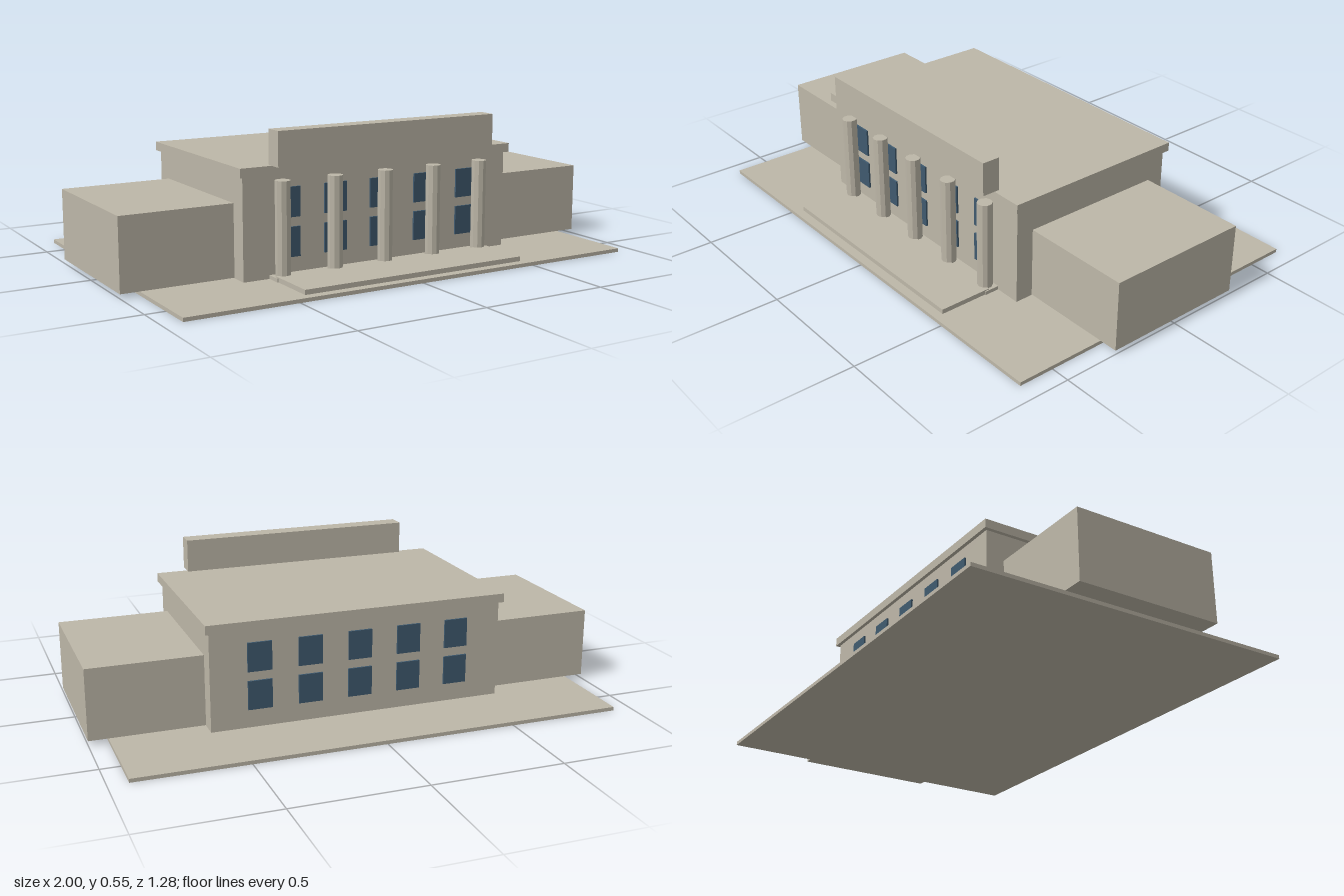
import * as THREE from 'three';

export function createModel() {
  const model = new THREE.Group();
  model.name = 'civicBuilding';
  const stone = new THREE.MeshStandardMaterial({ color: 0xbdb7a8 });
  stone.name = 'stone';
  const glass = new THREE.MeshStandardMaterial({ color: 0x3f5a6f });
  glass.name = 'windowGlass';

  // Box given by its lower and upper limits on each axis
  function block(name, [x0, x1], [y0, y1], [z0, z1], material = stone) {
    const mesh = new THREE.Mesh(new THREE.BoxGeometry(x1 - x0, y1 - y0, z1 - z0), material);
    mesh.position.set((x0 + x1) / 2, (y0 + y1) / 2, (z0 + z1) / 2);
    mesh.name = name;
    model.add(mesh);
    return mesh;
  }

  // Ground slab, main hall, overhanging roof and parapet
  block('groundSlab', [-0.926, 0.926], [0, 0.014], [-0.64, 0.64]);
  block('mainHall', [-0.57, 0.57], [0.014, 0.388], [-0.356, 0.356]);
  block('roof', [-0.585, 0.585], [0.388, 0.422], [-0.37, 0.37]);
  block('parapet', [-0.463, 0.463], [0.422, 0.55], [0.35, 0.42]);

  // Side wings
  block('leftWing', [0.57, 1], [0.016, 0.286], [-0.285, 0.285]);
  block('rightWing', [-1, -0.57], [0.016, 0.286], [-0.285, 0.285]);

  // Column plinth and entrance terrace
  block('columnPlinth', [-0.467, 0.467], [0.014, 0.028], [0.356, 0.415]);
  block('terrace', [-0.463, 0.463], [0.014, 0.032], [0.395, 0.605]);

  // Row of ten-sided columns
  const bottom = 0.028, top = 0.371;
  const columnShape = new THREE.CylinderGeometry(0.0285, 0.0285, top - bottom, 10).toNonIndexed();
  columnShape.computeVertexNormals();
  for (let i = -2; i <= 2; i++) {
    const column = new THREE.Mesh(columnShape, stone);
    column.position.set(i * 0.214, (bottom + top) / 2, 0.386);
    column.name = 'column';
    model.add(column);
  }

  // Two rows of five windows on the front and back walls
  for (const [name, z] of [['frontWindow', 0.359], ['backWindow', -0.359]]) {
    for (const y of [0.139, 0.284]) {
      for (let i = -2; i <= 2; i++) {
        const x = i * 0.1935 - 0.003;
        block(name, [x - 0.046, x + 0.046], [y - 0.055, y + 0.055], [z - 0.004, z + 0.004], glass);
      }
    }
  }
  return model;
}
